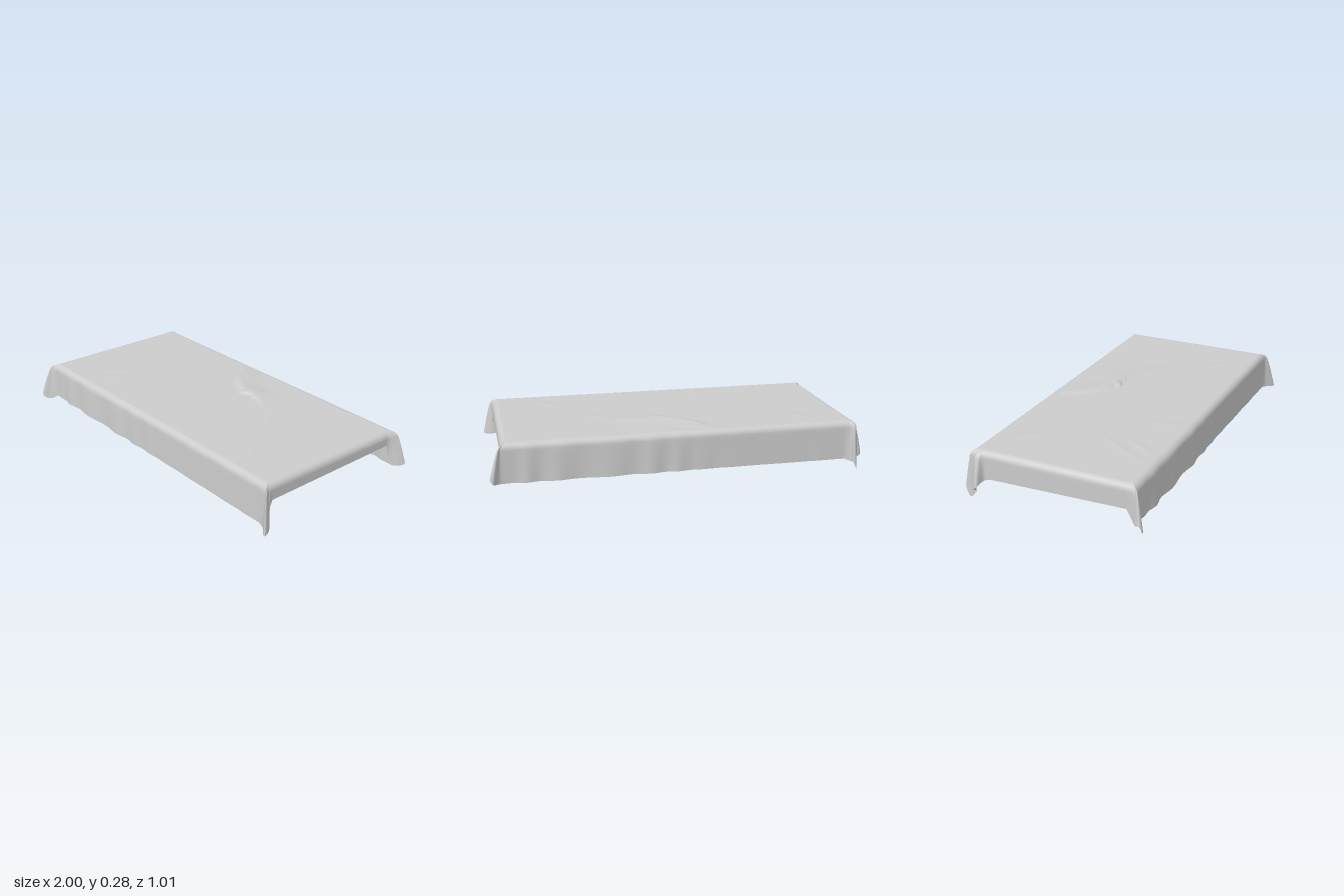
import * as THREE from 'three';

const TOP = 0.268, WX = 0.94, WZ = 0.45, ROUND = 0.035;
const { clamp, lerp, smoothstep } = THREE.MathUtils;

// Hem path around each corner fold, as x, y, z, in order around the cloth
const corners = [
  [[0.9, 0.055, 0.455], [0.935, 0.05, 0.465], [0.975, 0.042, 0.495], [0.995, 0.045, 0.505],
    [0.985, 0.055, 0.47], [0.95, 0.08, 0.435], [0.945, 0.15, 0.428], [0.94, 0.18, 0.41]],
  [[0.94, 0.195, -0.39], [0.95, 0.12, -0.405], [0.985, 0.1, -0.44], [1, 0.09, -0.475],
    [0.985, 0.07, -0.485], [0.95, 0.06, -0.455], [0.9, 0.06, -0.45]],
  [[-0.88, 0.06, -0.45], [-0.91, 0.05, -0.465], [-0.922, 0.055, -0.507], [-0.95, 0.003, -0.465],
    [-0.945, 0.04, -0.43], [-0.985, 0.07, -0.42], [-0.99, 0.09, -0.4], [-0.945, 0.11, -0.38], [-0.94, 0.12, -0.35]],
  [[-0.94, 0.14, 0.4], [-0.95, 0.1, 0.43], [-0.985, 0.09, 0.465], [-1, 0.1, 0.49],
    [-0.985, 0.06, 0.507], [-0.95, 0.045, 0.48], [-0.9, 0.075, 0.455]],
].map(c => c.map(p => new THREE.Vector3(...p)));

// Soft vertical folds, strongest on one half of each long side
function fold(side, x) {
  const half = side === 0 ? smoothstep(-x, -0.2, 0.35) : smoothstep(x, -0.2, 0.2);
  const fade = 1 - smoothstep(Math.abs(x), 0.8, 0.9);
  return fade * (0.002 + 0.011 * half) * (0.5 + 0.5 * Math.sin(x * 34 + 2 * Math.sin(x * 7)));
}

// Closed hem line: four straight sides joined by the corner folds
function hemLine() {
  const pts = [];
  corners.forEach((corner, i) => {
    const start = corners[(i + 3) % 4].at(-1), n = i % 2 ? 24 : 110;
    for (let k = 0; k < n; k++) {
      const p = start.clone().lerp(corner[0], k / n);
      if (i % 2 === 0) p.z += Math.sign(p.z) * fold(i, p.x);
      pts.push(p);
    }
    pts.push(...new THREE.CatmullRomCurve3(corner).getPoints(40).slice(0, -1));
  });
  return pts;
}

// Skirt: rounded shoulder, straight fall, corner folds flaring downward
function drapeGeometry() {
  const hem = hemLine(), n = hem.length, pos = [], index = [];
  const drops = [0, 0.04, 0.14, 0.3, 0.5, 0.75, 1].map(d => d * ROUND);
  const fall = 12, rows = drops.length + fall;
  for (let j = 0; j < rows; j++) {
    for (const p of hem) {
      const total = TOP - p.y;
      const drop = j < drops.length ? drops[j] : lerp(ROUND, total, (j - drops.length + 1) / fall);
      const bend = Math.sqrt(1 - (1 - Math.min(1, drop / ROUND)) ** 2);
      const flare = (drop / total) ** 0.75;
      const place = (v, w) => {
        const wall = clamp(v, -w, w), inner = clamp(v, ROUND - w, w - ROUND);
        return lerp(inner, wall, bend) + (v - wall) * flare;
      };
      pos.push(place(p.x, WX), TOP - drop, place(p.z, WZ));
    }
  }
  for (let j = 0; j < rows - 1; j++) for (let i = 0; i < n; i++) {
    const a = j * n + i, b = j * n + (i + 1) % n;
    index.push(a, a + n, b, b, a + n, b + n);
  }
  const geo = new THREE.BufferGeometry();
  geo.setAttribute('position', new THREE.Float32BufferAttribute(pos, 3));
  geo.setIndex(index);
  geo.computeVertexNormals();
  // Upright normals where the skirt meets the flat top
  for (let i = 0; i < n; i++) geo.attributes.normal.setXYZ(i, 0, 1, 0);
  return geo;
}

// Top: flat sheet with one raised wrinkle and faint diagonal creases
function topGeometry() {
  const w = WX - ROUND, d = WZ - ROUND;
  const geo = new THREE.PlaneGeometry(2 * w, 2 * d, 160, 90).rotateX(-Math.PI / 2);
  const ridge = new THREE.CatmullRomCurve3([[-0.18, -0.44], [-0.08, -0.28], [0.05, -0.18], [0.2, -0.16], [0.32, -0.1]]
    .map(([x, z]) => new THREE.Vector3(x, 0, z))).getPoints(60);
  const creases = [[-0.72, 0.4, -0.52, 0.05], [-0.62, 0.4, -0.5, 0.2], [-0.22, 0.4, -0.3, 0.2],
    [0.72, 0.36, 0.55, 0.15], [0.3, -0.2, 0.5, 0.05], [-0.75, -0.38, -0.6, -0.15]];
  const p = geo.attributes.position, v = new THREE.Vector3();
  for (let i = 0; i < p.count; i++) {
    v.fromBufferAttribute(p, i);
    let near = 0;
    ridge.forEach((q, k) => { if (q.distanceToSquared(v) < ridge[near].distanceToSquared(v)) near = k; });
    const q = ridge[near], dist = q.distanceTo(v);
    const behind = v.z < q.z || v.x > q.x;
    const along = Math.sin(Math.PI * clamp(near / 60, 0.04, 0.96));
    let y = 0.015 * along * Math.exp(-((dist / (behind ? 0.09 : 0.014)) ** 2));
    for (const [ax, az, bx, bz] of creases) {
      const dx = bx - ax, dz = bz - az, len = Math.hypot(dx, dz);
      const t = ((v.x - ax) * dx + (v.z - az) * dz) / len ** 2;
      const off = ((v.x - ax) * dz - (v.z - az) * dx) / len;
      if (t > 0 && t < 1) y += 0.0022 * Math.sin(Math.PI * t) * Math.exp(-((off / 0.018) ** 2));
    }
    const edge = smoothstep(Math.min(w - Math.abs(v.x), d - Math.abs(v.z)), 0, 0.05);
    p.setY(i, TOP + y * edge);
  }
  geo.computeVertexNormals();
  return geo;
}

export function createModel() {
  const group = new THREE.Group();
  group.name = 'tablecloth';
  const material = new THREE.MeshStandardMaterial({ color: 0xcccccc, side: THREE.DoubleSide });
  const add = (name, geometry) => {
    const mesh = new THREE.Mesh(geometry, material);
    mesh.name = name;
    group.add(mesh);
  };
  add('clothTop', topGeometry());
  add('hangingSkirt', drapeGeometry());
  return group;
}
